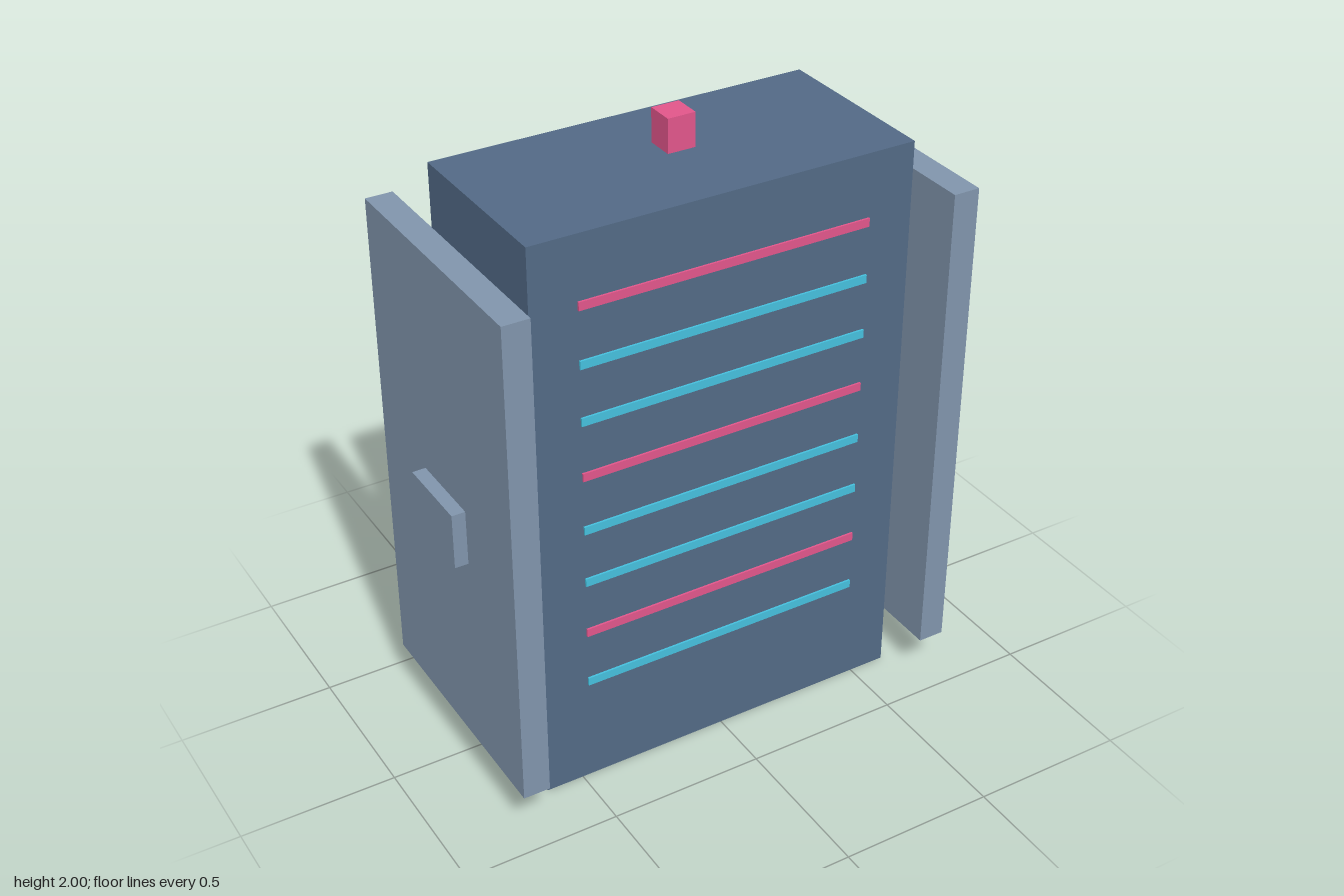
import * as THREE from 'three';

export function createModel() {
  const model = new THREE.Group();
  const paint = (color) => new THREE.MeshStandardMaterial({ color });
  const bodyBlue = paint(0x526985);
  const panelBlue = paint(0x8094ab);
  const pink = paint(0xe0558a);
  const cyan = paint(0x45bfdc);

  // Box given by its size and centre
  function box(name, material, [w, h, d], [x, y, z]) {
    const mesh = new THREE.Mesh(new THREE.BoxGeometry(w, h, d), material);
    mesh.name = name;
    mesh.position.set(x, y, z);
    model.add(mesh);
  }

  // Main cabinet and the beacon hovering above it
  box('cabinet', bodyBlue, [1.244, 1.872, 0.587], [0, 0.936, 0]);
  box('beacon', pink, [0.09, 0.107, 0.09], [0, 1.9465, 0]);

  // Side panels, each held by a bracket that pokes through
  for (const [side, s] of [['left', 1], ['right', -1]]) {
    box(side + 'Panel', panelBlue, [0.086, 1.606, 0.842], [s * 0.722, 0.938, 0]);
    box(side + 'Bracket', panelBlue, [0.19, 0.182, 0.26], [s * 0.713, 0.9, 0]);
  }

  // Light strips: every third one is pink; the sides have every second row
  for (let i = 0; i < 8; i++) {
    const y = 0.367 + i * 0.184;
    const color = i % 3 === 1 ? pink : cyan;
    for (const s of [1, -1]) {
      box(s > 0 ? 'frontStrip' : 'backStrip', color, [0.948, 0.027, 0.02], [0, y, s * 0.29]);
      if (i % 2 === 0) {
        box(s > 0 ? 'leftStrip' : 'rightStrip', cyan, [0.02, 0.024, 0.42], [s * 0.619, y, 0]);
      }
    }
  }
  return model;
}
